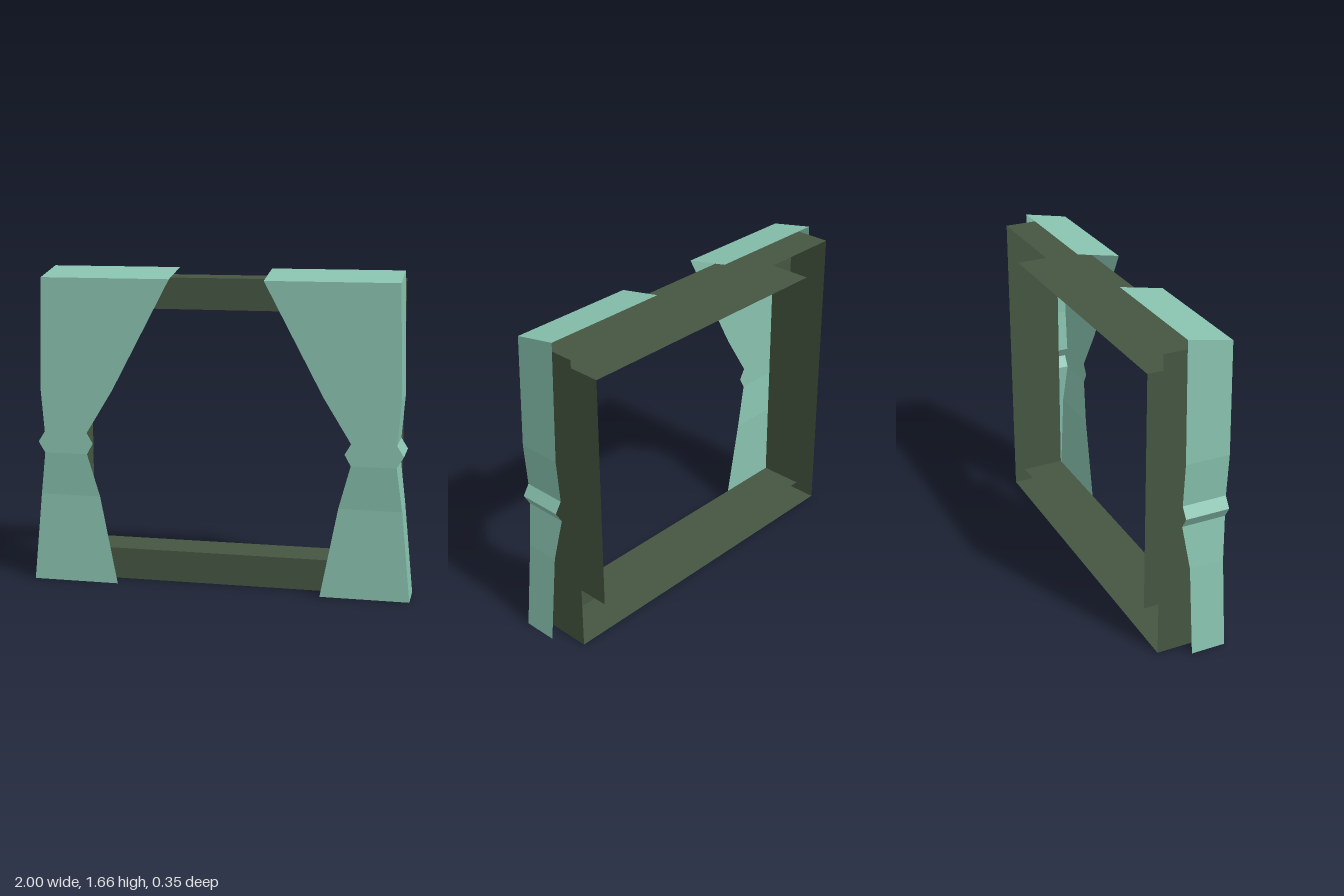
import * as THREE from 'three';

// Flat-shaded sheet lofted through rows of points, all rows of equal length
function loft(rows) {
  const pos = [];
  for (let i = 0; i < rows.length - 1; i++) {
    for (let j = 0; j < rows[i].length - 1; j++) {
      const a = rows[i][j], b = rows[i][j + 1], c = rows[i + 1][j + 1], d = rows[i + 1][j];
      pos.push(...a, ...b, ...c, ...a, ...c, ...d);
    }
  }
  const geo = new THREE.BufferGeometry();
  geo.setAttribute('position', new THREE.Float32BufferAttribute(pos, 3));
  geo.computeVertexNormals();
  return geo;
}

// Closed rectangular loop, counter-clockwise seen from the front
function rectLoop(x, y0, y1, z) {
  return [[-x, y0, z], [x, y0, z], [x, y1, z], [-x, y1, z], [-x, y0, z]];
}

// Curtain levels from hem to top: y, inner x, outer x, front z, back z
const LEVELS = [
  [0, 0.54, 1.0, 0.157, -0.025],
  [0.47, 0.63, 0.953, 0.157, -0.025],
  [0.697, 0.692, 0.922, 0.175, -0.057],
  [0.755, 0.66, 0.957, 0.175, -0.057],
  [0.81, 0.692, 0.922, 0.175, -0.057],
  [1.04, 0.55, 0.94, 0.175, -0.057],
  [1.617, 0.243, 0.924, 0.175, -0.057],
];
const TOP_BACK = 1.663;

export function createModel() {
  const model = new THREE.Group();
  model.name = 'curtainedWindow';

  const fabric = new THREE.MeshStandardMaterial({ color: 0x88c2af, side: THREE.DoubleSide });
  fabric.name = 'sea green fabric';
  const wood = new THREE.MeshStandardMaterial({ color: 0x455642, side: THREE.DoubleSide });
  wood.name = 'dark green frame';

  const add = (parent, name, geo, mat) => {
    const mesh = new THREE.Mesh(geo, mat);
    mesh.name = name;
    parent.add(mesh);
  };

  // Window frame: a channel open at the back (outer wall, front face, inner wall)
  add(model, 'windowFrame', loft([
    rectLoop(0.922, 0, 1.617, -0.175),
    rectLoop(0.922, 0, 1.617, 0.055),
    rectLoop(0.77, 0.167, 1.455, 0.055),
    rectLoop(0.77, 0.167, 1.455, -0.175),
  ]), wood);

  // Tied curtains: front drape, outer side and sloping top, open at the inner edge
  for (const s of [1, -1]) {
    const curtain = new THREE.Group();
    curtain.name = s > 0 ? 'leftCurtain' : 'rightCurtain';
    const orient = row => (s > 0 ? row : row.reverse());
    const last = LEVELS.length - 1;

    add(curtain, 'drape', loft(LEVELS.map(([y, xi, xo, zf]) =>
      orient([[s * xi, y, zf], [s * xo, y, zf]]))), fabric);

    add(curtain, 'outerSide', loft(LEVELS.map(([y, , xo, zf, zb], i) =>
      orient([[s * xo, y, zf], [s * xo, i === last ? TOP_BACK : y, zb]]))), fabric);

    const [y, xi, xo, zf, zb] = LEVELS[last];
    add(curtain, 'curtainTop', loft([
      orient([[s * xi, y, zf], [s * xo, y, zf]]),
      orient([[s * xi, TOP_BACK, zb], [s * xo, TOP_BACK, zb]]),
    ]), fabric);

    model.add(curtain);
  }
  return model;
}
